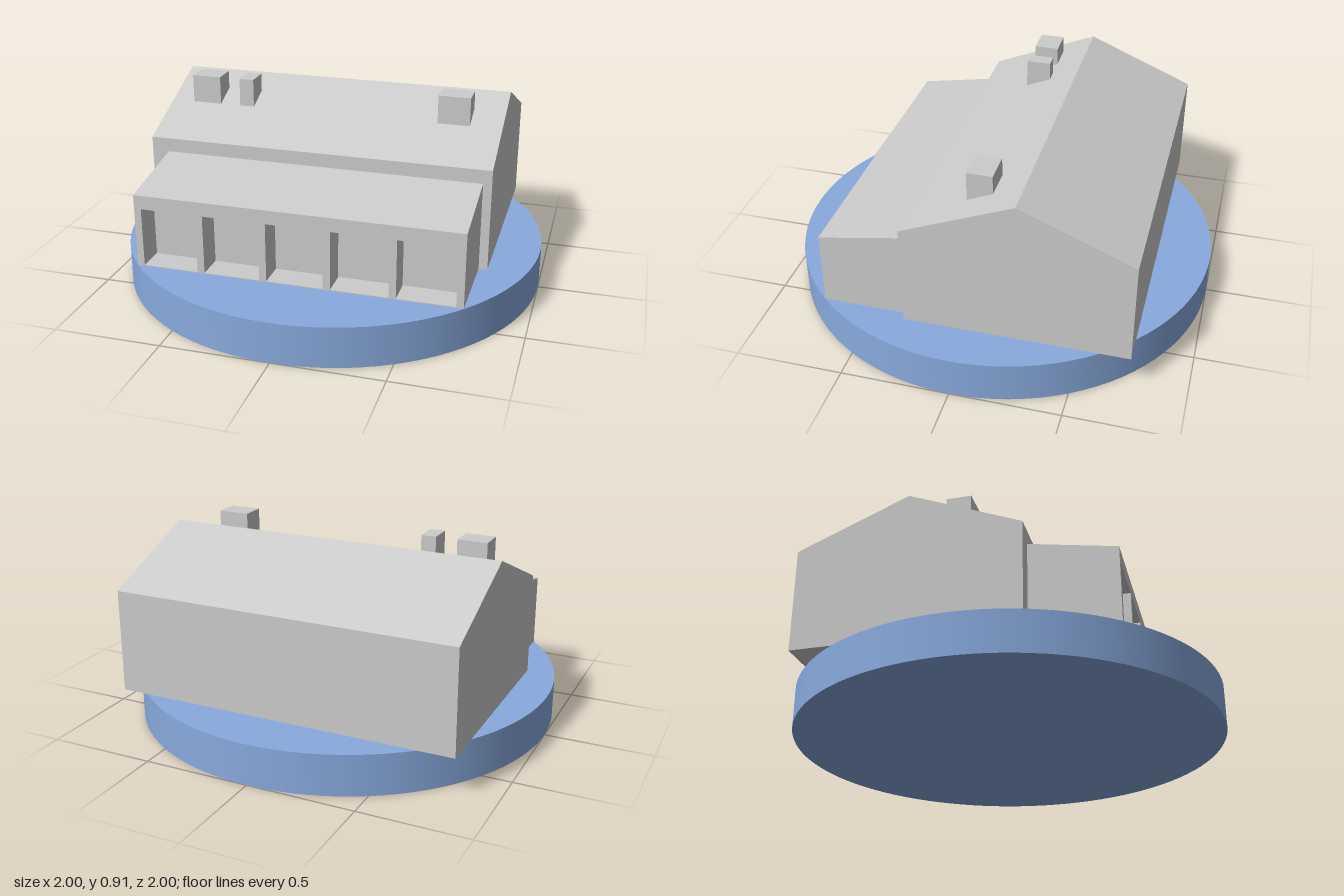
import * as THREE from 'three';

const grey = new THREE.MeshStandardMaterial({ color: 0xcccccc, flatShading: true });
const blue = new THREE.MeshStandardMaterial({ color: 0x88aadd });
const GROUND = 0.19;

export function createModel() {
  const model = new THREE.Group();

  const add = (name, geometry, material = grey, parent = model) => {
    const mesh = new THREE.Mesh(geometry, material);
    mesh.name = name;
    parent.add(mesh);
    return mesh;
  };

  // Box given by its limits on each axis
  const box = (name, [x0, x1], [y0, y1], [z0, z1], parent) =>
    add(name, new THREE.BoxGeometry(x1 - x0, y1 - y0, z1 - z0), grey, parent)
      .position.set((x0 + x1) / 2, (y0 + y1) / 2, (z0 + z1) / 2);

  // Solid with a [z, y] side profile, stretched from x0 to x1
  const prism = (name, profile, x0, x1, parent) => {
    const shape = new THREE.Shape(profile.map(([z, y]) => new THREE.Vector2(-z, y)));
    const geometry = new THREE.ExtrudeGeometry(shape, { depth: x1 - x0, bevelEnabled: false });
    geometry.rotateY(Math.PI / 2).translate(x0, 0, 0);
    return add(name, geometry, grey, parent);
  };

  // Round base
  add('base', new THREE.CylinderGeometry(1, 1, GROUND, 96), blue).position.y = GROUND / 2;

  // Main house with gable roof
  prism('house', [[0.27, GROUND], [-0.75, GROUND], [-0.75, 0.67], [-0.24, 0.88], [0.27, 0.67]], -0.83, 0.79);

  // Front wing with lean-to roof and a shallow arcade
  const wing = new THREE.Group();
  wing.name = 'frontWing';
  model.add(wing);
  const back = 0.27, recess = 0.53, front = 0.66, half = 0.75, head = 0.47;
  const roofY = z => 0.605 - (z - back) / (front - back) * 0.07;
  prism('wingBody', [[recess, GROUND], [back, GROUND], [back, roofY(back)], [recess, roofY(recess)]], -half, half, wing);
  prism('lintel', [[front, head], [recess, head], [recess, roofY(recess)], [front, roofY(front)]], -half, half, wing);
  box('arcadeFloor', [-half, half], [GROUND - 0.005, GROUND + 0.004], [recess, front], wing);

  // Six piers between the five bays
  const pierWidth = 0.033;
  for (let i = 0; i < 6; i++) {
    const x = -half + i * (2 * half - pierWidth) / 5;
    box('pier', [x, x + pierWidth], [GROUND, head], [recess, front], wing);
  }

  // Chimneys on the front slope
  for (const span of [[-0.72, -0.58], [-0.48, -0.41], [0.49, 0.64]]) {
    box('chimney', span, [0.76, 0.91], [-0.105, 0.01]);
  }

  return model;
}
